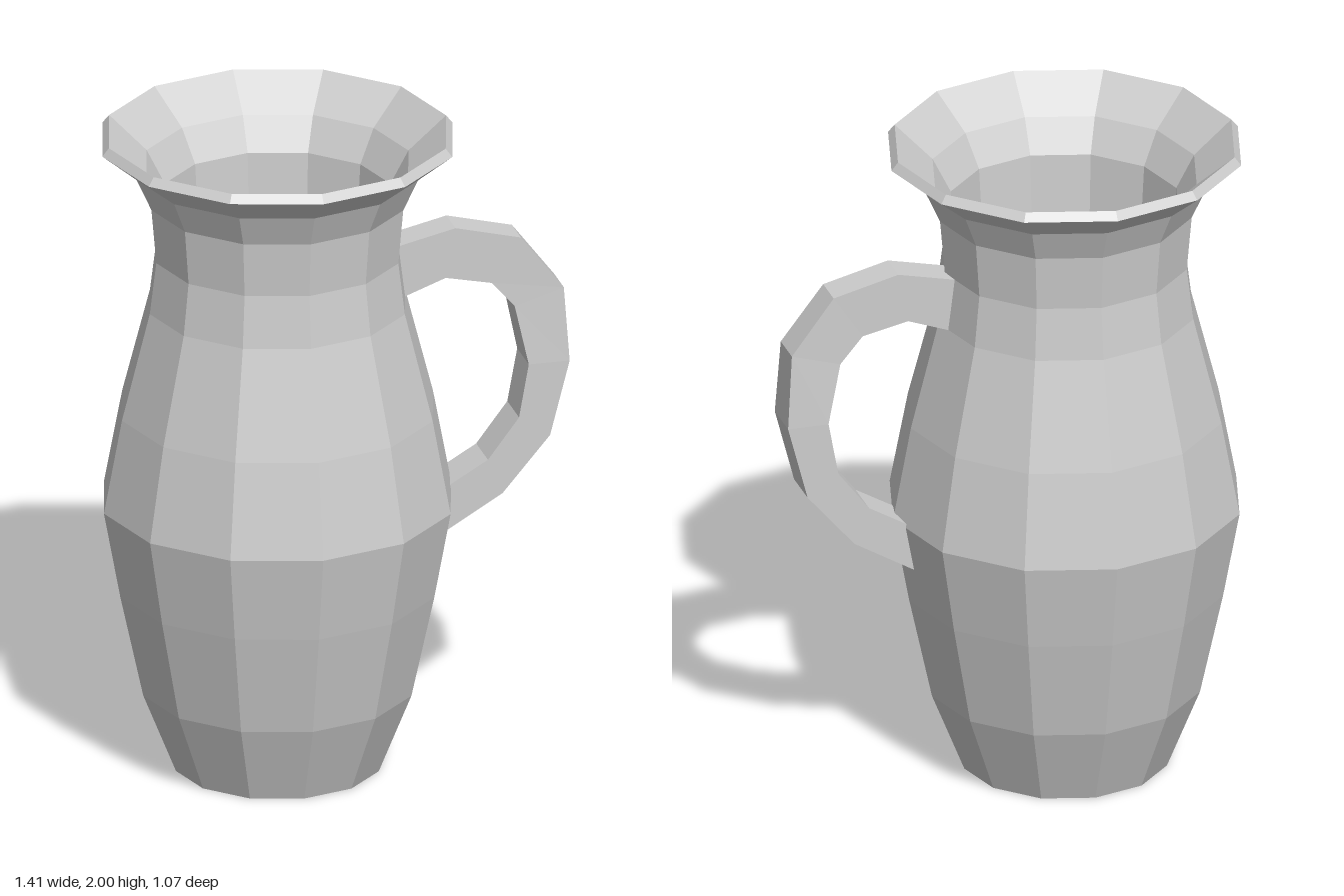
import * as THREE from 'three';

// Sweeps four-cornered sections [outerX, outerY, innerX, innerY, halfWidth] into a closed bar
function sweptBar(sections) {
  const positions = [];
  const index = [];
  for (const [ox, oy, ix, iy, w] of sections) {
    positions.push(ox, oy, w, ox, oy, -w, ix, iy, -w, ix, iy, w);
  }
  for (let s = 0; s < sections.length - 1; s++) {
    for (let k = 0; k < 4; k++) {
      const a = s * 4 + k;
      const b = s * 4 + (k + 1) % 4;
      index.push(a, a + 4, b + 4, a, b + 4, b);
    }
  }
  const e = (sections.length - 1) * 4;
  index.push(0, 1, 2, 0, 2, 3, e, e + 2, e + 1, e, e + 3, e + 2);
  const geometry = new THREE.BufferGeometry();
  geometry.setAttribute('position', new THREE.Float32BufferAttribute(positions, 3));
  geometry.setIndex(index);
  geometry.computeVertexNormals();
  return geometry;
}

export function createModel() {
  const group = new THREE.Group();
  group.name = 'jug';
  const clay = new THREE.MeshStandardMaterial({ color: 0xcccccc, flatShading: true });
  clay.name = 'pale grey clay';

  // Body: outer wall up to the flared lip, then the inner wall down to the floor
  const profile = [
    [0, 0], [0.31, 0], [0.41, 0.25], [0.48, 0.57], [0.53, 0.84], [0.475, 1.13],
    [0.39, 1.46], [0.37, 1.62], [0.385, 1.79], [0.43, 1.89], [0.535, 1.975], [0.515, 2],
    [0.4, 1.9], [0.345, 1.8], [0.332, 1.62], [0.35, 1.46], [0.44, 1.13],
    [0.495, 0.84], [0.445, 0.57], [0.375, 0.26], [0.285, 0.03], [0, 0.03],
  ].map(([r, y]) => new THREE.Vector2(r, y));
  const body = new THREE.Mesh(new THREE.LatheGeometry(profile, 12), clay);
  body.name = 'body';
  body.position.x = -0.17;
  group.add(body);

  // Handle: from the neck, out and down to the belly, widening slightly
  const handle = new THREE.Mesh(sweptBar([
    [0.185, 1.62, 0.195, 1.455, 0.053],
    [0.36, 1.66, 0.33, 1.505, 0.053],
    [0.56, 1.61, 0.47, 1.475, 0.053],
    [0.69, 1.44, 0.54, 1.395, 0.056],
    [0.705, 1.21, 0.58, 1.21, 0.067],
    [0.645, 0.98, 0.55, 1.045, 0.068],
    [0.5, 0.81, 0.455, 0.92, 0.068],
    [0.315, 0.7, 0.335, 0.85, 0.068],
  ]), clay);
  handle.name = 'handle';
  group.add(handle);

  return group;
}
